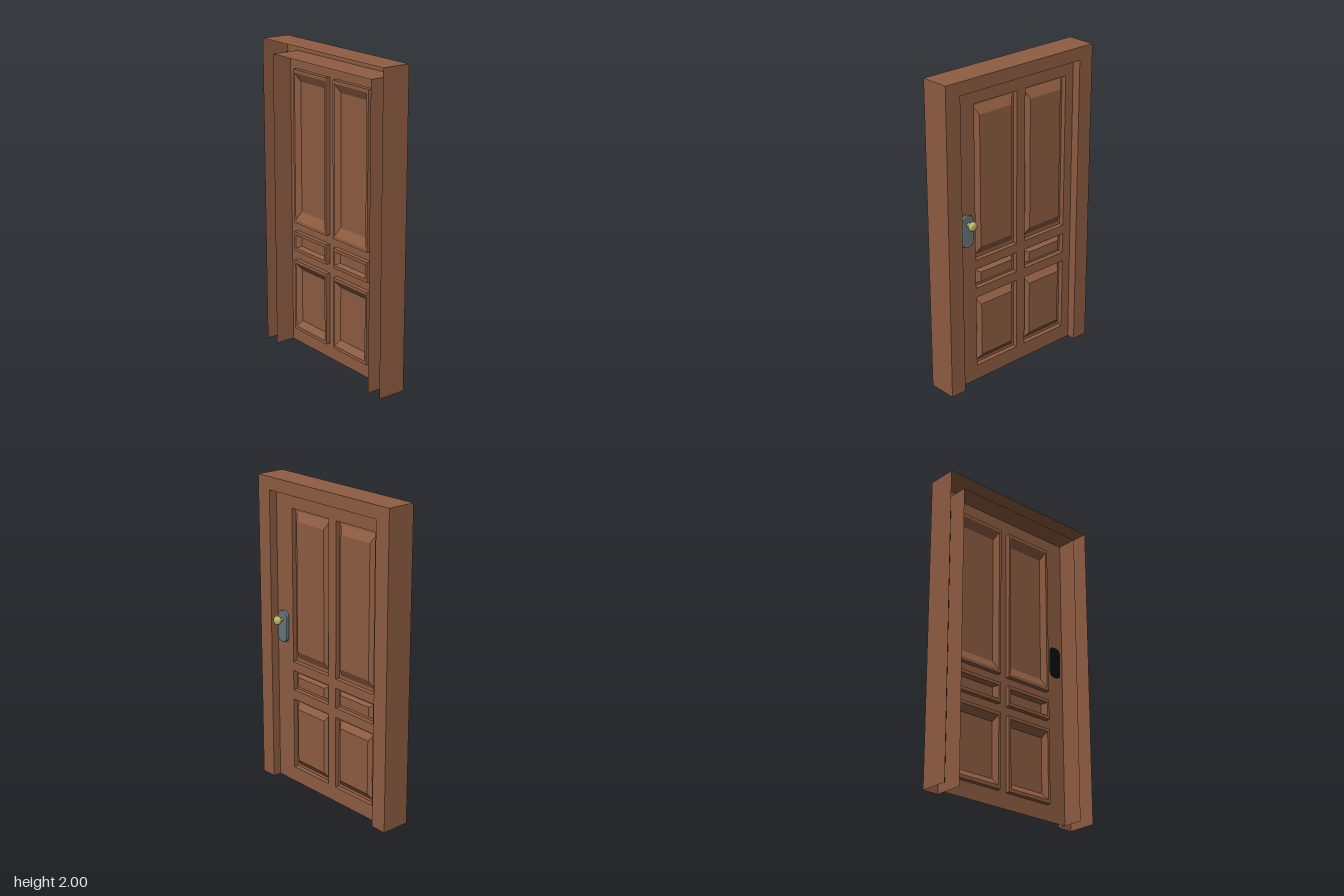
import * as THREE from 'three';

const mat = (name, color) => {
  const m = new THREE.MeshStandardMaterial({ color, side: THREE.DoubleSide });
  m.name = name;
  return m;
};

// Triangle soup from a list of quads (each four corners, counter-clockwise)
function quads(list) {
  const pos = [];
  for (const [a, b, c, d] of list) pos.push(...a, ...b, ...c, ...a, ...c, ...d);
  const g = new THREE.BufferGeometry();
  g.setAttribute('position', new THREE.Float32BufferAttribute(pos, 3));
  g.computeVertexNormals();
  return g;
}

// Corners of a rectangle [x0, y0, x1, y1] inset by (dx, dy) at depth z
const rect = ([x0, y0, x1, y1], dx, dy, z) => [
  [x0 + dx, y0 + dy, z], [x1 - dx, y0 + dy, z], [x1 - dx, y1 - dy, z], [x0 + dx, y1 - dy, z],
];

// Open arch strip running up, across and down, swept from z0 to z1
function arch(halfWidth, height, z0, z1) {
  const p = [[halfWidth, 0], [halfWidth, height], [-halfWidth, height], [-halfWidth, 0]];
  const list = [];
  for (let i = 0; i < 3; i++) {
    const [a, b] = [p[i], p[i + 1]];
    list.push([[...a, z1], [...a, z0], [...b, z0], [...b, z1]]);
  }
  return quads(list);
}

// Upright plate with rounded ends
function plateShape(cx, cy, hw, hh, r) {
  const s = new THREE.Shape();
  s.absarc(cx + hw - r, cy + hh - r, r, 0, Math.PI / 2);
  s.absarc(cx - hw + r, cy + hh - r, r, Math.PI / 2, Math.PI);
  s.absarc(cx - hw + r, cy - hh + r, r, Math.PI, Math.PI * 1.5);
  s.absarc(cx + hw - r, cy - hh + r, r, Math.PI * 1.5, Math.PI * 2);
  s.closePath();
  return s;
}

export function createModel() {
  const group = new THREE.Group();
  const wood = mat('brown wood', 0x8f5d42);
  const steel = mat('grey metal', 0x68757c);
  const brass = mat('brass', 0xbab668);
  const black = mat('black', 0x0b0b0c);
  const add = (name, geo, m) => {
    const mesh = new THREE.Mesh(geo, m);
    mesh.name = name;
    group.add(mesh);
    return mesh;
  };

  const W = 0.575, H = 2, IW = 0.47, IH = 1.918;
  const BACK = -0.08, FRONT = 0.108, DOOR = -0.025, RIM = 0.005;

  // Frame: outer shell, inner lining and the face joining them at the back
  add('frameShell', arch(W, H, BACK, FRONT), wood);
  add('frameLining', arch(IW, IH, BACK, FRONT), wood);
  const face = new THREE.Shape([
    [-W, 0], [-W, H], [W, H], [W, 0], [IW, 0], [IW, IH], [-IW, IH], [-IW, 0],
  ].map(([x, y]) => new THREE.Vector2(x, y)));
  add('frameBackFace', new THREE.ShapeGeometry(face).translate(0, 0, BACK), wood);

  // Dark strips hidden between lining and shell
  for (const s of [-1, 1]) {
    const strip = add('sealStrip', new THREE.BoxGeometry(0.03, 1.86, 0.006), black);
    strip.position.set(s * 0.487, 0.985, -0.02);
  }

  // Panel rows: bottom, top, bevel width, bevel height
  const rows = [
    [0.10, 0.577, 0.026, 0.04],
    [0.64, 0.77, 0.024, 0.012],
    [0.83, 1.822, 0.026, 0.055],
  ];
  const door = new THREE.Shape([
    new THREE.Vector2(-IW, 0), new THREE.Vector2(IW, 0),
    new THREE.Vector2(IW, IH), new THREE.Vector2(-IW, IH),
  ]);
  for (const cx of [-0.241, 0.158]) {
    for (const [y0, y1, bx, by] of rows) {
      const r = [cx - 0.166, y0, cx + 0.166, y1];
      door.holes.push(new THREE.Path(rect(r, 0, 0, 0).reverse().map(([x, y]) => new THREE.Vector2(x, y))));
      // Raised rim, then a bevel sinking to the field
      const m = 0.016;
      const loops = [
        rect(r, 0, 0, DOOR), rect(r, 0, 0, RIM), rect(r, m, m + 0.005, RIM),
        rect(r, m + bx, m + 0.005 + by, DOOR),
      ];
      const list = [loops[3]];
      for (let k = 0; k < 3; k++) {
        for (let i = 0; i < 4; i++) {
          const j = (i + 1) % 4;
          list.push([loops[k][i], loops[k][j], loops[k + 1][j], loops[k + 1][i]]);
        }
      }
      add('doorPanel', quads(list), wood);
    }
  }
  add('doorSheet', new THREE.ShapeGeometry(door).translate(0, 0, DOOR), wood);

  // Lock plate on the back, with its dark inner side on the front
  const plate = new THREE.ExtrudeGeometry(plateShape(0.402, 1.052, 0.044, 0.102, 0.036), {
    depth: 0.012, bevelEnabled: true, bevelThickness: 0.006, bevelSize: 0.006,
    bevelOffset: -0.006, bevelSegments: 2, curveSegments: 5,
  });
  add('lockPlate', plate.translate(0, 0, -0.045), steel);
  const inner = new THREE.ShapeGeometry(plateShape(0.402, 1.052, 0.046, 0.104, 0.036), 5);
  add('lockPlateInside', inner.translate(0, 0, DOOR + 0.006), black);

  // Round knob on a short stem, facing the back
  const profile = [
    [0.012, 0], [0.012, 0.022], [0.022, 0.027], [0.029, 0.036], [0.029, 0.044],
    [0.026, 0.054], [0.018, 0.06], [0, 0.061],
  ].map(([x, y]) => new THREE.Vector2(x, y));
  const knob = add('knob', new THREE.LatheGeometry(profile, 20), brass);
  knob.rotation.x = -Math.PI / 2;
  knob.position.set(0.4, 1.1, -0.047);

  return group;
}
